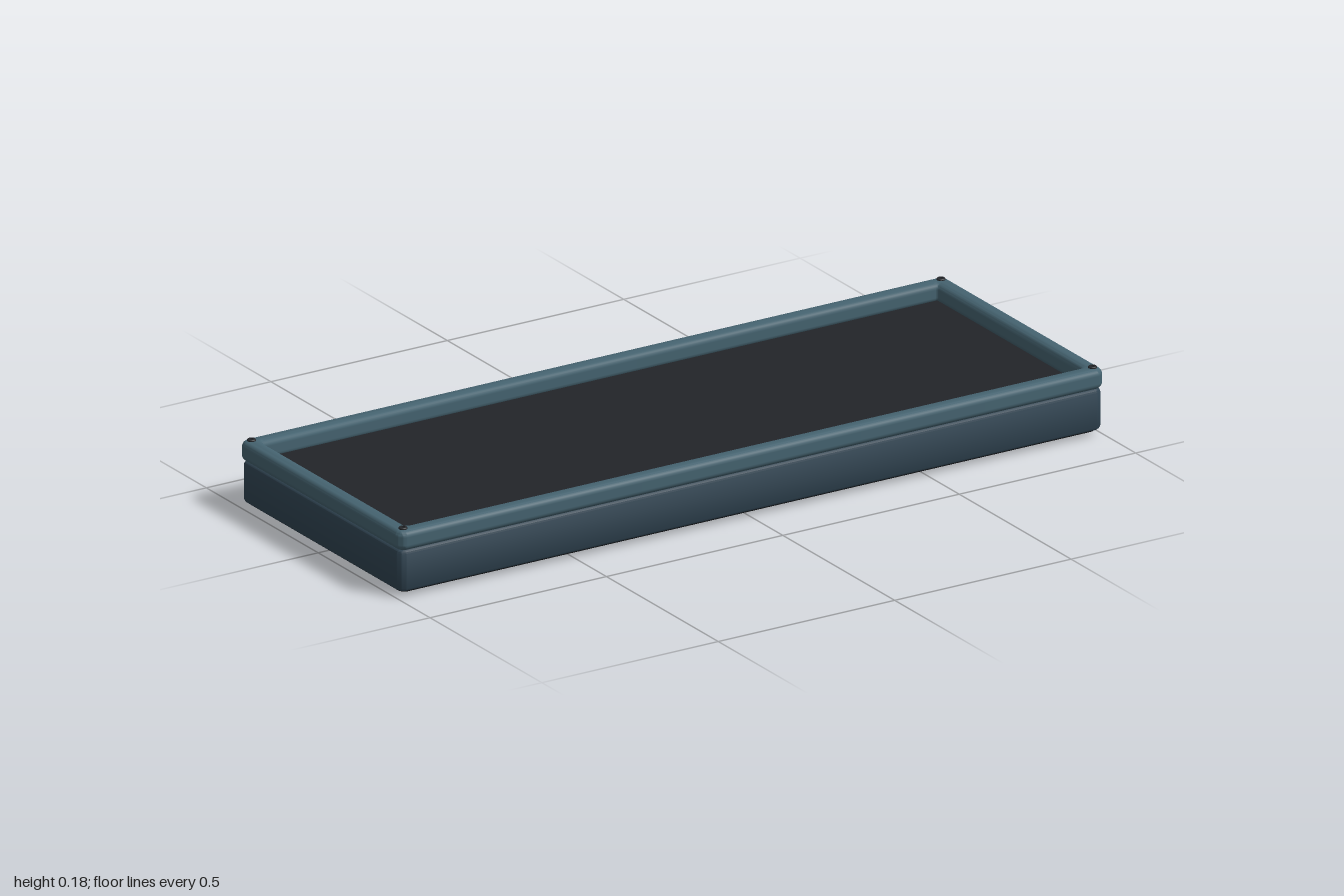
import * as THREE from 'three';
import { toCreasedNormals } from 'three/addons/utils/BufferGeometryUtils.js';
import { RoundedBoxGeometry } from 'three/addons/geometries/RoundedBoxGeometry.js';

const Z = 0.005; // centre of the case in depth

function roundedRect(target, w, h, r) {
  const x = w / 2, y = h / 2;
  target.moveTo(-x + r, -y);
  target.lineTo(x - r, -y);
  target.absarc(x - r, -y + r, r, -Math.PI / 2, 0);
  target.lineTo(x, y - r);
  target.absarc(x - r, y - r, r, 0, Math.PI / 2);
  target.lineTo(-x + r, y);
  target.absarc(-x + r, y - r, r, Math.PI / 2, Math.PI);
  target.lineTo(-x, -y + r);
  target.absarc(-x + r, -y + r, r, Math.PI, Math.PI * 1.5);
  return target;
}

// Rounded slab of total thickness t, centred on z, with an optional opening [w, h, r]
function slab(w, h, r, t, bevel, hole) {
  const shape = roundedRect(new THREE.Shape(), w, h, r);
  if (hole) shape.holes.push(roundedRect(new THREE.Path(), ...hole));
  const geo = new THREE.ExtrudeGeometry(shape, {
    depth: t - 2 * bevel, bevelEnabled: true, bevelThickness: bevel, bevelSize: bevel,
    bevelOffset: -bevel, bevelSegments: 5, curveSegments: 6,
  });
  geo.translate(0, 0, -t / 2 + bevel);
  return toCreasedNormals(geo, 0.6);
}

export function createModel() {
  const group = new THREE.Group();
  const mat = (color) => new THREE.MeshStandardMaterial({ color });
  const baseMat = mat(0x304452), frameMat = mat(0x456370), plateMat = mat(0x222429);
  const blackMat = mat(0x121315), steelMat = mat(0x25282c);

  function add(name, geo, material, x, y, z) {
    const mesh = new THREE.Mesh(geo, material);
    mesh.name = name;
    mesh.position.set(x, y, z);
    group.add(mesh);
    return mesh;
  }

  // Lower case and bottom cover
  add('lowerCase', slab(1.994, 0.716, 0.022, 0.109, 0.014).rotateX(-Math.PI / 2), baseMat, 0, 0.0685, Z);
  add('bottomCover', slab(1.972, 0.694, 0.02, 0.01, 0.003).rotateX(-Math.PI / 2), blackMat, 0, 0.016, Z);

  // Raised rim around the recessed plate
  add('topFrame', slab(2, 0.725, 0.024, 0.052, 0.016, [1.912, 0.638, 0.006]).rotateX(-Math.PI / 2),
    frameMat, 0, 0.147, 0.0045);
  add('plate', new THREE.BoxGeometry(1.904, 0.014, 0.631), plateMat, 0, 0.125, 0.0045);

  // Corner screws with a hex socket
  for (const x of [-0.977, 0.977]) for (const z of [-0.334, 0.343]) {
    const profile = [[0, 0.002], [0.005, 0.002], [0.005, 0.006], [0.009, 0.006], [0.011, 0.004], [0.011, -0.01]]
      .map(([r, y]) => new THREE.Vector2(r, y)).reverse();
    const geo = toCreasedNormals(new THREE.LatheGeometry(profile, 20), 0.5);
    add('cornerScrew', geo, steelMat, x, 0.171, z);
  }

  // Rubber feet
  for (const x of [-0.68, 0.68]) for (const z of [-0.22, 0.23])
    add('foot', new RoundedBoxGeometry(0.16, 0.016, 0.06, 3, 0.005), blackMat, x, 0.008, z);

  // Cable socket at the back
  add('socketRim', slab(0.074, 0.03, 0.012, 0.014, 0.003, [0.052, 0.016, 0.006]), blackMat, 0, 0.082, -0.355);
  add('socketShell', slab(0.05, 0.016, 0.0075, 0.014, 0.001, [0.042, 0.01, 0.0045]), steelMat, 0, 0.082, -0.358);
  add('socketTongue', new THREE.BoxGeometry(0.03, 0.003, 0.012), blackMat, 0, 0.082, -0.356);

  return group;
}
